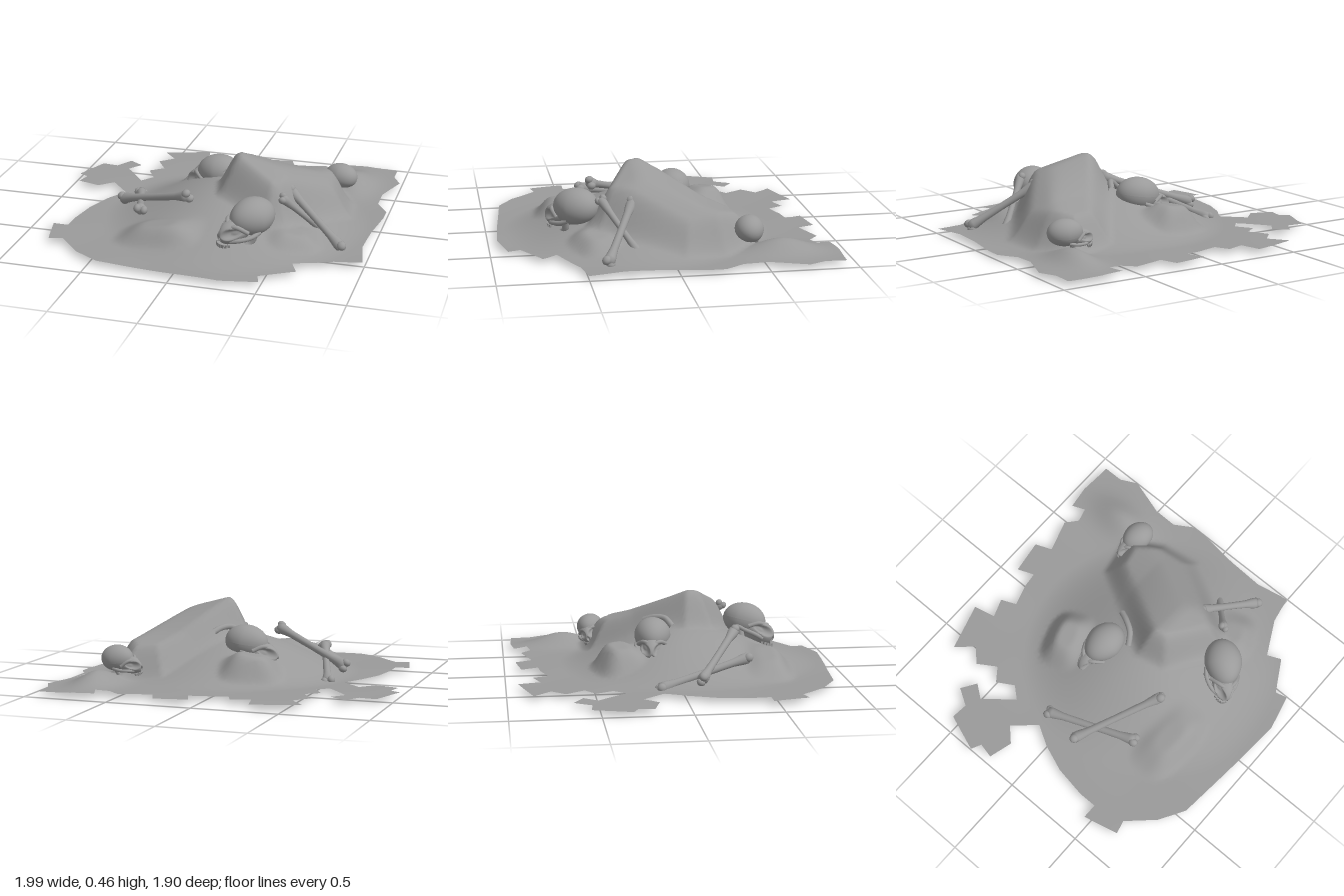
import * as THREE from 'three';
import { mergeGeometries, mergeVertices } from 'three/addons/utils/BufferGeometryUtils.js';

const V = (x, y, z) => new THREE.Vector3(x, y, z);
const mat = new THREE.MeshStandardMaterial({ color: 0x9a9a9a });
const sheetMat = new THREE.MeshStandardMaterial({ color: 0x9a9a9a, side: THREE.DoubleSide });
const smooth = (a, b, t) => THREE.MathUtils.smoothstep(t, a, b);
const softMin = (a, b, k) => -k * Math.log(Math.exp(-a / k) + Math.exp(-b / k));

function add(parent, name, geometry, material = mat) {
  const mesh = new THREE.Mesh(geometry, material);
  mesh.name = name;
  parent.add(mesh);
  return mesh;
}

// Ragged ground outline (x, z)
const OUTLINE = [
  [-.59, -.85], [-.31, -.93], [-.28, -.8], [-.17, -.84], [-.13, -.75], [0, -.79], [.09, -.8], [.05, -.9],
  [.25, -.93], [.29, -.83], [.48, -.89], [.55, -.83], [.63, -.85], [.6, -.93], [.74, -.95], [.94, -.94],
  [.94, -.82], [.99, -.72], [.92, -.5], [.92, -.36], [.99, -.25], [.99, -.16], [.96, .08], [.95, .3],
  [.99, .5], [.83, .53], [.62, .64], [.66, .72], [.47, .83], [.49, .9], [.28, .95], [-.02, .93],
  [-.45, .89], [-.6, .8], [-.74, .65], [-.82, .67], [-.87, .46], [-.78, .46], [-.78, .35], [-.75, .16],
  [-.69, 0], [-.62, -.12], [-.74, -.25], [-.82, -.17], [-.96, -.21], [-.94, -.3], [-1, -.33], [-.92, -.55],
  [-.82, -.54], [-.76, -.64], [-.67, -.58], [-.73, -.5], [-.59, -.33], [-.53, -.4], [-.59, -.5],
  [-.51, -.56], [-.58, -.67], [-.5, -.75],
];

// Footprint of the big tilted slab (x, z)
const SLAB = [[.11, .1], [.14, .22], [.42, .37], [.48, .34], [.75, -.08], [.72, -.28], [.6, -.45], [.42, -.41]];

// Soft stones under the earth: x, z, half width, half depth, turn, top, slope along x
const STONES = [
  [-.12, -.33, .15, .115, .3, .2, .15],
  [-.19, .54, .21, .12, -.05, .145, .2],
  [.57, .41, .13, .11, .4, .135, -.2],
];

function slabDistance(x, z) {
  let d = -1;
  SLAB.forEach(([ax, az], i) => {
    const [bx, bz] = SLAB[(i + 1) % SLAB.length];
    const dx = bx - ax, dz = bz - az;
    d = Math.max(d, ((z - az) * dx - (x - ax) * dz) / Math.hypot(dx, dz));
  });
  return d;
}

function height(x, z) {
  // broad mound
  const r2 = ((x - .13) / (x > .13 ? .82 : .76)) ** 2 + ((z - .08) / (z > .08 ? .82 : .74)) ** 2;
  let y = .031 + .23 * Math.max(0, 1 - r2) ** 2 + .003 * Math.sin(9 * x) * Math.sin(8 * z);
  // stones
  for (const [cx, cz, w, d, turn, top, slope] of STONES) {
    const c = Math.cos(turn), s = Math.sin(turn);
    const u = (c * (x - cx) - s * (z - cz)) / w, v = (s * (x - cx) + c * (z - cz)) / d;
    const k = 1 - smooth(.4, 1.35, Math.pow(Math.abs(u) ** 3 + Math.abs(v) ** 3, 1 / 3));
    y += Math.max(0, top + slope * (x - cx) - y) * k;
  }
  // low ridge running to the back corner
  y += .075 * Math.exp(-(((x - .72) / .11) ** 2) - ((z + .62) / .19) ** 2);
  // slab, highest at its front left corner, its right half leaning down
  const back = Math.max(0, .12 - z);
  const fall = (.42 - .55 * (x - .3)) * (z > -.2 ? Math.min(1, .6 + 1.25 * back) : 1);
  const left = .47 - .27 * (x - .17) - fall * back - .25 * Math.max(0, z - .16);
  const top = softMin(left, .34 - .75 * (x - .52), .012);
  y += Math.max(0, top - y) * (1 - smooth(-.07, .08, slabDistance(x, z)));
  return y;
}

// Ground sheet: outline split into small triangles, then raised
function groundGeometry() {
  const shape = new THREE.Shape(OUTLINE.map(([x, z]) => new THREE.Vector2(x, -z)));
  const p = new THREE.ShapeGeometry(shape).toNonIndexed().attributes.position;
  const out = [];
  const split = (a, b, c) => {
    const ab = a.distanceTo(b), bc = b.distanceTo(c), ca = c.distanceTo(a);
    const longest = Math.max(ab, bc, ca);
    if (longest < .032) {
      for (const q of [a, b, c]) out.push(q.x, height(q.x, -q.y), -q.y);
    } else if (longest === ab) {
      const m = a.clone().add(b).multiplyScalar(.5);
      split(a, m, c); split(m, b, c);
    } else if (longest === bc) split(b, c, a);
    else split(c, a, b);
  };
  const at = (i) => V(0, 0, 0).fromBufferAttribute(p, i);
  for (let i = 0; i < p.count; i += 3) split(at(i), at(i + 1), at(i + 2));
  let g = new THREE.BufferGeometry();
  g.setAttribute('position', new THREE.Float32BufferAttribute(out, 3));
  g = mergeVertices(g, 1e-5);
  g.computeVertexNormals();
  return g;
}

// Ellipsoid with eye and nose hollows pressed into its front
function hollowed(sx, sy, sz, y, z, rule) {
  const g = new THREE.SphereGeometry(1, 56, 40).rotateX(Math.PI / 2).scale(sx, sy, sz).translate(0, y, z);
  const p = g.attributes.position, q = V(0, 0, 0);
  for (let i = 0; i < p.count; i++) {
    q.fromBufferAttribute(p, i);
    rule(q);
    if (q.z > .05) {
      const eye = Math.hypot(Math.abs(q.x) - .042, q.y + .035);
      const nose = Math.hypot(q.x * 1.3, (q.y + .075) * .8);
      q.z -= .05 * (1 - smooth(.014, .034, eye)) + .03 * (1 - smooth(.006, .016, nose));
    }
    p.setXYZ(i, q.x, q.y, q.z);
  }
  g.computeVertexNormals();
  return g;
}

const tube = (points, r, n = 20) =>
  new THREE.TubeGeometry(new THREE.CatmullRomCurve3(points), n, r, 10);

// Skull facing local +z
function skull(name, centre, forward, up, scale) {
  const s = new THREE.Group();
  s.name = name;
  add(s, 'cranium', hollowed(.113, .107, .14, 0, 0, (q) => {
    if (q.z > 0) q.x *= 1 - .9 * q.z;
    if (q.y < -.05) q.y = -.05 + (q.y + .05) * .85;
  }));
  add(s, 'face', hollowed(.072, .078, .11, -.06, .115, (q) => {
    if (q.y < -.05) q.x *= 1 + 3 * (q.y + .05);
  }));
  add(s, 'brow', tube([V(-.088, -.03, .085), V(-.047, .002, .135), V(0, -.008, .16),
    V(.047, .002, .135), V(.088, -.03, .085)], .013));
  for (const m of [-1, 1]) {
    add(s, 'cheekbone', tube([V(m * .042, -.085, .175), V(m * .078, -.07, .135),
      V(m * .1, -.058, .07), V(m * .097, -.045, .01)], .013));
  }
  // jaw: side branches, chin and floor
  add(s, 'jaw', tube([V(-.085, -.045, .03), V(-.08, -.115, .06), V(-.054, -.145, .17), V(0, -.15, .23),
    V(.054, -.145, .17), V(.08, -.115, .06), V(.085, -.045, .03)], .02, 36));
  const floor = add(s, 'jawFloor', new THREE.SphereGeometry(1, 20, 12));
  floor.scale.set(.056, .02, .08);
  floor.position.set(0, -.138, .14);
  const teeth = [];
  for (const y of [-.112, -.13]) {
    for (let i = -4; i <= 4; i++) {
      const a = i * .27;
      teeth.push(new THREE.BoxGeometry(.013, .019, .012).rotateY(a)
        .translate(.05 * Math.sin(a), y, .145 + .076 * Math.cos(a)));
    }
  }
  add(s, 'teeth', mergeGeometries(teeth));
  const z = forward.clone().normalize();
  const x = up.clone().cross(z).normalize();
  s.quaternion.setFromRotationMatrix(new THREE.Matrix4().makeBasis(x, z.clone().cross(x), z));
  s.position.copy(centre);
  s.scale.setScalar(scale);
  return s;
}

// Long bone between two points, with a pair of knuckles at each end
function bone(name, a, b, r = .023) {
  const g = new THREE.Group();
  g.name = name;
  const len = a.distanceTo(b), h = len / 2;
  const profile = [[-h, .3], [-h + .012, 1.4], [-h + .04, 1.4], [-h + .11, 1], [0, .9],
    [h - .11, 1], [h - .04, 1.4], [h - .012, 1.4], [h, .3]];
  add(g, 'shaft', new THREE.LatheGeometry(profile.map(([y, k]) => new THREE.Vector2(k * r, y)), 16));
  for (const e of [-1, 1]) {
    for (const m of [-1, 1]) {
      const k = add(g, 'knuckle', new THREE.SphereGeometry(r, 14, 10));
      k.position.set(m * r * .85, e * (h - .012), 0);
      k.scale.set(1, 1.2, 1.15);
    }
  }
  g.position.copy(a).add(b).multiplyScalar(.5);
  g.quaternion.setFromUnitVectors(V(0, 1, 0), b.clone().sub(a).normalize());
  return g;
}

export function createModel() {
  const model = new THREE.Group();
  model.name = 'boneMound';
  add(model, 'ground', groundGeometry(), sheetMat);
  model.add(
    skull('frontSkull', V(.35, .237, .5), V(-.62, -.1, .74), V(.25, .95, .1), 1),
    skull('middleSkull', V(-.02, .238, -.12), V(-.9, -.12, -.12), V(0, 1, 0), .95),
    skull('backSkull', V(.67, .155, -.445), V(-.92, .02, -.22), V(0, .9, -.3), .73),
    bone('crossedBoneUpper', V(-.565, .085, .1), V(-.06, .262, .37)),
    bone('crossedBoneLower', V(-.525, .033, -.14), V(-.345, .16, .41)),
    bone('leaningBoneFront', V(.49, .3, .19), V(.85, .045, .38)),
    bone('leaningBoneRear', V(.49, .32, .38), V(.715, .04, .18), .019),
  );
  // curved rib fragment against the slab
  add(model, 'rib', tube([V(.18, .29, -.15), V(.15, .31, -.09), V(.11, .31, -.03), V(.05, .27, .01)], .018));
  return model;
}
